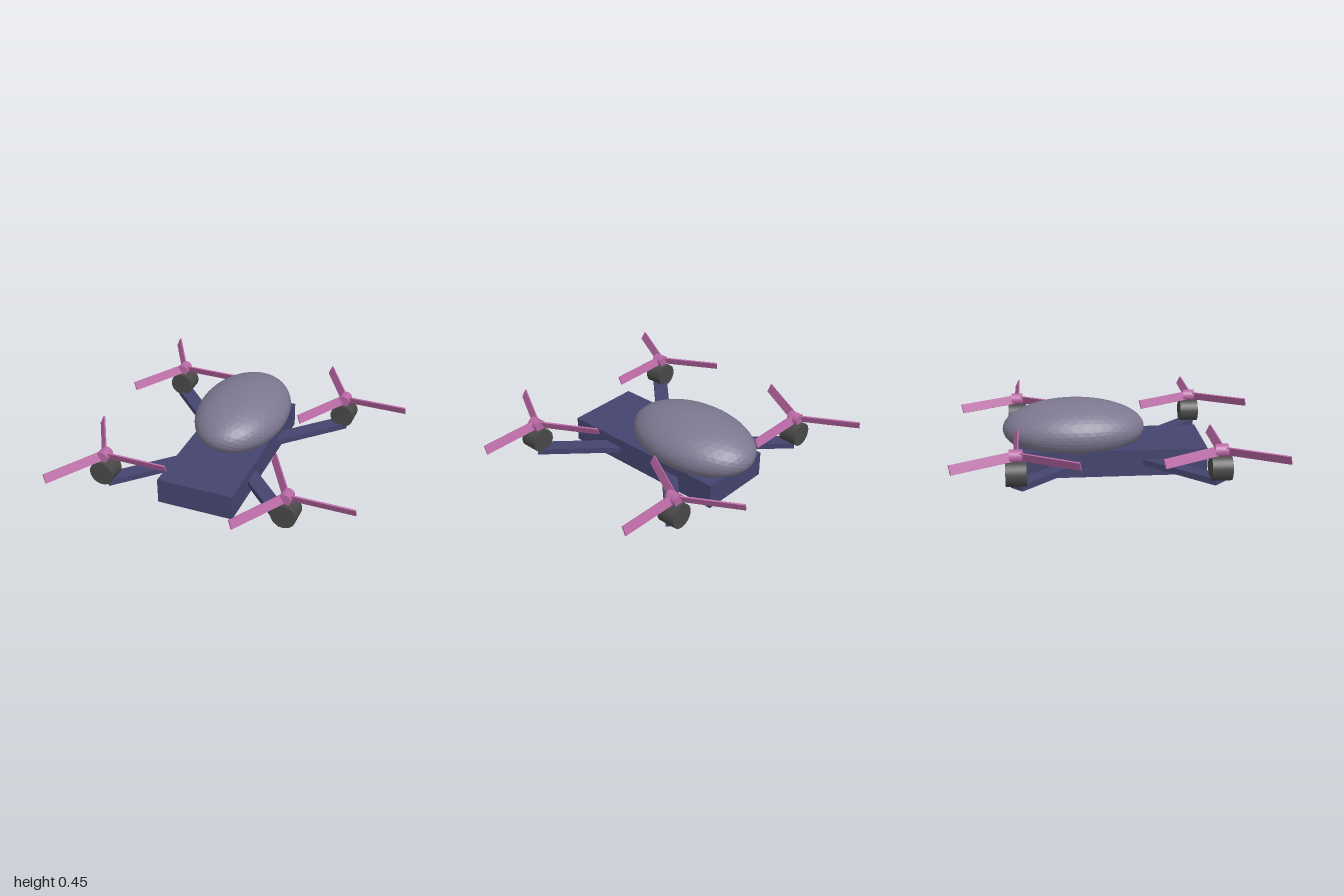
import * as THREE from 'three';

const paint = (color, flatShading = false) => {
  const m = new THREE.MeshStandardMaterial({ flatShading });
  m.color.set(color);
  return m;
};

function part(name, geometry, material, parent) {
  const mesh = new THREE.Mesh(geometry, material);
  mesh.name = name;
  parent.add(mesh);
  return mesh;
}

export function createModel() {
  const root = new THREE.Group();
  root.name = 'quadcopter';

  const navy = paint(0x44446f);
  const slate = paint(0x7d7890, true);
  const charcoal = paint(0x484848);
  const pink = paint(0xb968a4);

  // everything is arranged around the body's centre line
  const craft = new THREE.Group();
  craft.name = 'craft';
  craft.position.x = -0.103;
  root.add(craft);

  // flat body slab
  part('body', new THREE.BoxGeometry(0.515, 0.172, 1.212), navy, craft).position.y = 0.086;

  // faceted egg-shaped canopy sunk into the rear of the body
  const canopy = part('canopy', new THREE.IcosahedronGeometry(1, 7), slate, craft);
  canopy.scale.set(0.308, 0.187, 0.465);
  canopy.position.set(0, 0.26, -0.244);

  // shared geometries
  const reach = 0.618;
  const armLength = reach * Math.SQRT2;
  const armGeo = new THREE.BoxGeometry(armLength, 0.04, 0.1).translate(armLength / 2, 0.09, 0);
  const motorGeo = new THREE.CylinderGeometry(0.081, 0.081, 0.126, 32).rotateX(Math.PI / 2);
  const hubGeo = new THREE.CylinderGeometry(0.04, 0.04, 0.08, 32).rotateX(Math.PI / 2);
  const bladeGeo = new THREE.BoxGeometry(0.432, 0.06, 0.01)
    .translate(0.216, 0, 0)
    .rotateX(THREE.MathUtils.degToRad(25));

  for (const sx of [-1, 1]) {
    for (const sz of [-1, 1]) {
      const label = (sz > 0 ? 'front' : 'rear') + (sx > 0 ? 'Left' : 'Right');

      // diagonal arm from the body centre to the motor
      part(label + 'Arm', armGeo, navy, craft).rotation.y = Math.atan2(-sz, sx);

      // motor drum lying along z
      part(label + 'Motor', motorGeo, charcoal, craft).position.set(sx * reach, 0.175, sz * reach);

      // three-bladed rotor
      const rotor = new THREE.Group();
      rotor.name = label + 'Rotor';
      rotor.position.set(sx * reach, 0.283, sz * reach);
      craft.add(rotor);
      part('hub', hubGeo, pink, rotor);
      for (let i = 0; i < 3; i++) {
        part('blade', bladeGeo, pink, rotor).rotation.y = (i * 2 * Math.PI) / 3;
      }
    }
  }
  return root;
}
